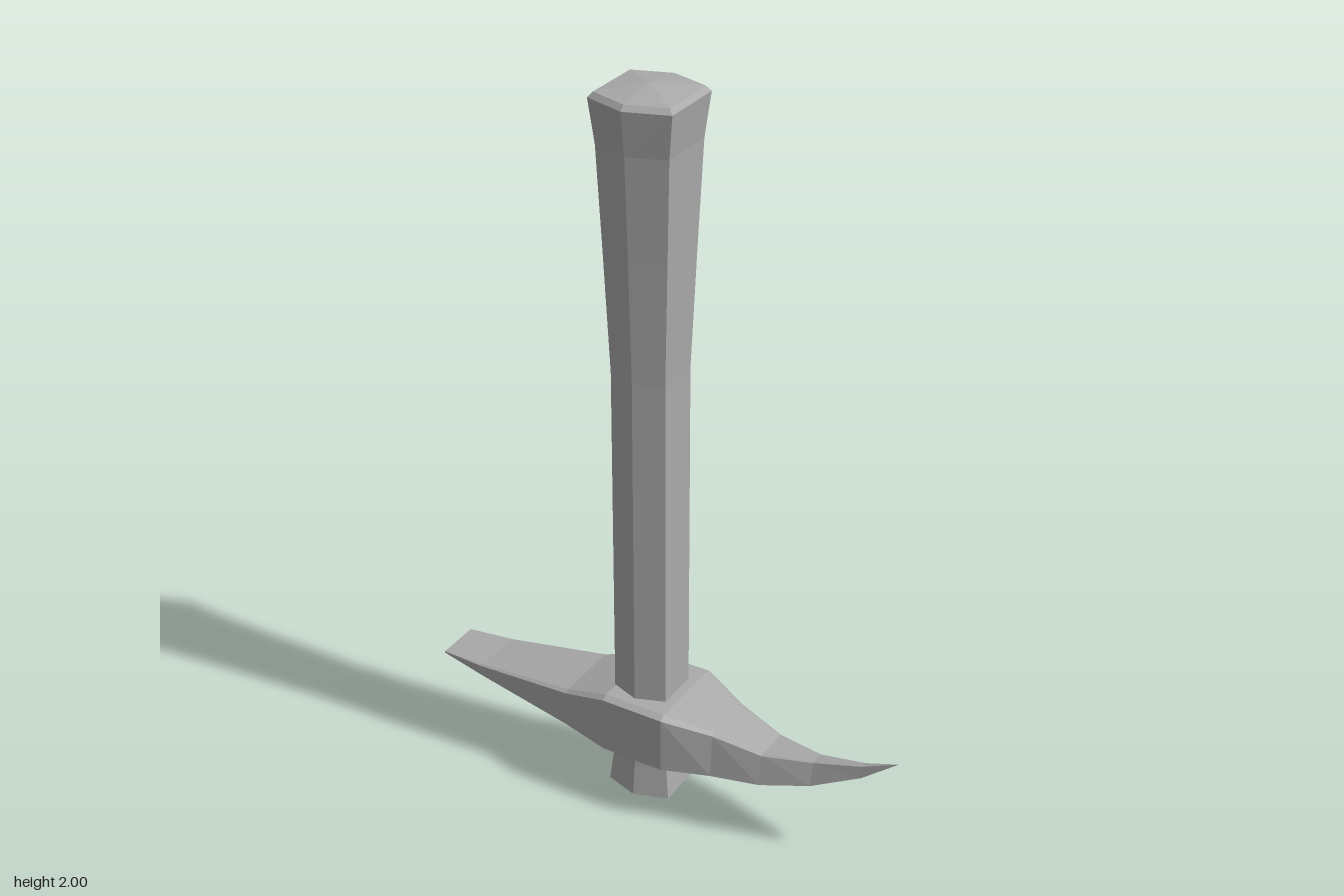
import * as THREE from 'three';

// Joins equal-length rings of points with flat faces, skipping collapsed triangles.
function loft(rings) {
  const pos = [];
  const tri = (a, b, c) => {
    const area = new THREE.Vector3().subVectors(b, a).cross(new THREE.Vector3().subVectors(c, a)).length();
    if (area > 1e-9) for (const p of [a, b, c]) pos.push(p.x, p.y, p.z);
  };
  for (let i = 0; i < rings.length - 1; i++) {
    const n = rings[i].length;
    for (let j = 0; j < n; j++) {
      const k = (j + 1) % n;
      const a = rings[i][j], b = rings[i][k], c = rings[i + 1][k], d = rings[i + 1][j];
      tri(a, b, c);
      tri(a, c, d);
    }
  }
  const geo = new THREE.BufferGeometry();
  geo.setAttribute('position', new THREE.Float32BufferAttribute(pos, 3));
  geo.computeVertexNormals();
  return geo;
}

const V = (x, y, z) => new THREE.Vector3(x, y, z);

// Stretched hexagon: flat sides toward +-x, corners toward +-z.
const AXIS_X = -0.047;
const hexRing = ([y, hx, zSide, zTip]) => [
  [hx, zSide], [hx, -zSide], [0, -zTip], [-hx, -zSide], [-hx, zSide], [0, zTip],
].map(([x, z]) => V(AXIS_X + x, y, z));

// Chamfered trapezoid section across the head at x.
const headRing = ([x, y0, y1, w0, w1, c]) => {
  const half = [[y1, w1 - c * 1.6], [y1 - c, w1], [y0 + c, w0], [y0, w0 - c * 1.6]];
  return [
    V(x, half[0][0], -half[0][1]),
    ...half.map(([y, z]) => V(x, y, z)),
    ...half.slice(1).reverse().map(([y, z]) => V(x, y, -z)),
  ];
};

export function createModel() {
  const group = new THREE.Group();
  group.name = 'pickaxe';
  const grey = new THREE.MeshStandardMaterial({ color: 0xaaaaaa });
  grey.name = 'grey';
  grey.flatShading = true;
  const add = (name, geo) => {
    const mesh = new THREE.Mesh(geo, grey);
    mesh.name = name;
    group.add(mesh);
  };

  // Handle: y, half width in x, z of side corners, z of front and back corners
  add('handle', loft([
    [0, 0, 0, 0],
    [0.04, 0.09, 0.07, 0.1],
    [0.13, 0.08, 0.063, 0.09],
    [0.2, 0.076, 0.06, 0.088],
    [1.27, 0.076, 0.06, 0.088],
    [1.6, 0.088, 0.07, 0.1],
    [1.86, 0.098, 0.079, 0.112],
    [1.972, 0.111, 0.088, 0.125],
    [1.985, 0.1, 0.08, 0.113],
    [2, 0, 0, 0],
  ].map(hexRing)));

  // Head: x, bottom y, top y, bottom half width, top half width, chamfer
  add('head', loft([
    [-0.67, 0.253, 0.253, 0, 0, 0],
    [-0.67, 0.25, 0.256, 0.062, 0.062, 0.001],
    [-0.54, 0.227, 0.263, 0.074, 0.074, 0.003],
    [-0.25, 0.188, 0.302, 0.104, 0.102, 0.007],
    [-0.12, 0.172, 0.346, 0.128, 0.126, 0.01],
    [0.055, 0.172, 0.346, 0.13, 0.128, 0.01],
    [0.18, 0.179, 0.312, 0.092, 0.08, 0.007],
    [0.31, 0.187, 0.278, 0.066, 0.052, 0.004],
    [0.44, 0.218, 0.285, 0.036, 0.021, 0.002],
    [0.57, 0.282, 0.316, 0.015, 0.009, 0.001],
    [0.665, 0.354, 0.354, 0, 0, 0],
  ].map(headRing)));

  return group;
}
